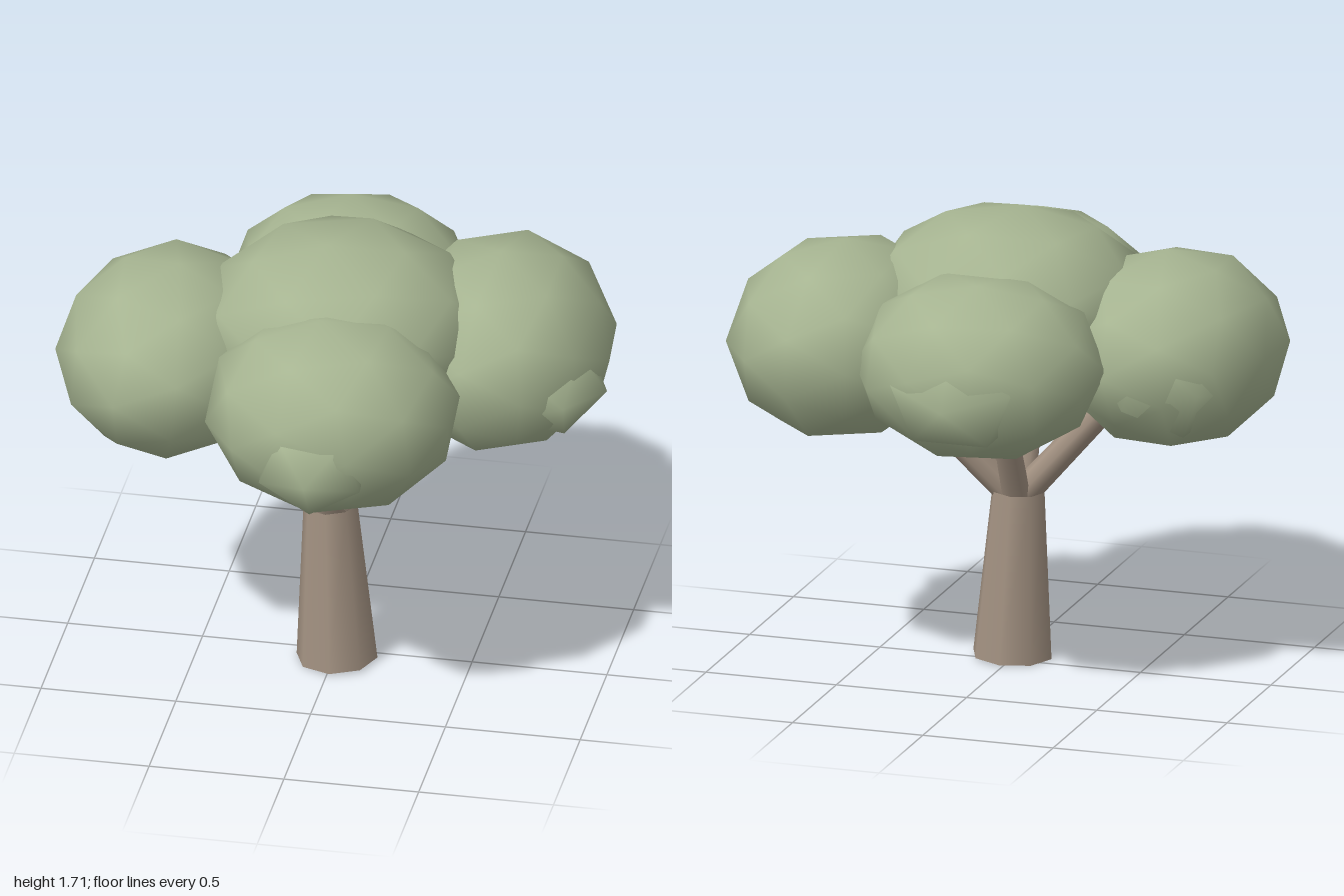
import * as THREE from 'three';

const V = (p) => new THREE.Vector3(...p);
const UP = new THREE.Vector3(0, 1, 0);
const CORNER = new THREE.Vector3(0, 1, (1 + Math.sqrt(5)) / 2).normalize();

export function createModel() {
  const tree = new THREE.Group();
  tree.name = 'tree';
  const leaf = new THREE.MeshStandardMaterial({ color: 0xa6b491 });
  leaf.name = 'leafGreen';
  const bark = new THREE.MeshStandardMaterial({ color: 0xa39282, side: THREE.DoubleSide });
  bark.name = 'barkBrown';

  // Tapered eight-sided limb between two points, open at the ends if asked
  function limb(name, from, to, r0, r1, open = false) {
    const a = V(from), b = V(to), dir = b.clone().sub(a);
    const mesh = new THREE.Mesh(new THREE.CylinderGeometry(r1, r0, dir.length(), 8, 1, open), bark);
    mesh.position.copy(a).add(b).multiplyScalar(0.5);
    mesh.quaternion.setFromUnitVectors(UP, dir.normalize());
    mesh.name = name;
    tree.add(mesh);
  }

  // Coarse smooth-shaded ellipsoid; the facets are turned before stretching
  function clump(name, center, radii, [rx, ry, rz]) {
    const geo = new THREE.IcosahedronGeometry(1, 1);
    geo.rotateX(rx).rotateZ(rz).rotateY(ry);
    geo.scale(...radii);
    const mesh = new THREE.Mesh(geo, leaf);
    mesh.position.set(...center);
    mesh.name = name;
    tree.add(mesh);
  }

  // Very coarse smooth-shaded tuft with one corner at the tip
  function tuft(name, tip, outward, radii) {
    const out = V(outward).normalize();
    const geo = new THREE.IcosahedronGeometry(1, 0);
    geo.setAttribute('normal', geo.attributes.position.clone());
    geo.applyQuaternion(new THREE.Quaternion().setFromUnitVectors(CORNER, out));
    geo.scale(...radii);
    const mesh = new THREE.Mesh(geo, leaf);
    mesh.position.copy(V(tip).sub(out.multiply(V(radii))));
    mesh.name = name;
    tree.add(mesh);
  }

  // Trunk and four branches
  limb('trunk', [0.01, 0.005, 0.055], [-0.015, 0.635, 0.05], 0.15, 0.1, true);
  limb('rightBranch', [-0.04, 0.63, 0.05], [-0.48, 1.13, 0.07], 0.055, 0.047);
  limb('leftBranch', [0.02, 0.63, 0.04], [0.44, 1.12, -0.15], 0.055, 0.047);
  limb('frontBranch', [-0.015, 0.61, 0.06], [0.01, 1.08, 0.3], 0.06, 0.052);
  limb('backBranch', [-0.015, 0.61, 0.03], [-0.03, 1.08, -0.23], 0.055, 0.047);

  // Main foliage clumps
  clump('topFoliage', [0.015, 1.36, 0.01], [0.53, 0.355, 0.53], [0.1, 0.2, 0.1]);
  clump('rightFoliage', [-0.6, 1.225, 0.08], [0.42, 0.365, 0.5], [0, -0.3, -0.08]);
  clump('leftFoliage', [0.57, 1.235, -0.2], [0.42, 0.37, 0.52], [0, 0.4, 0]);
  clump('frontFoliage', [0.065, 1.23, 0.42], [0.47, 0.37, 0.43], [0, 0.28, 0.1]);
  clump('backFoliage', [-0.035, 1.25, -0.45], [0.465, 0.345, 0.43], [-0.25, 0.2, 0]);

  // Tufts poking out of the outer clumps
  tuft('rightTuft', [-0.84, 1.18, -0.36], [-0.66, 0, -0.75], [0.28, 0.22, 0.28]);
  tuft('leftTuft', [0.995, 1.16, -0.03], [1, -0.1, 0], [0.22, 0.18, 0.26]);
  tuft('frontTuft', [0.055, 1.16, 0.915], [0, 0, 1], [0.22, 0.18, 0.2]);
  tuft('backTuft', [-0.04, 1.2, -0.92], [0, 0, -1], [0.27, 0.2, 0.2]);

  return tree;
}
